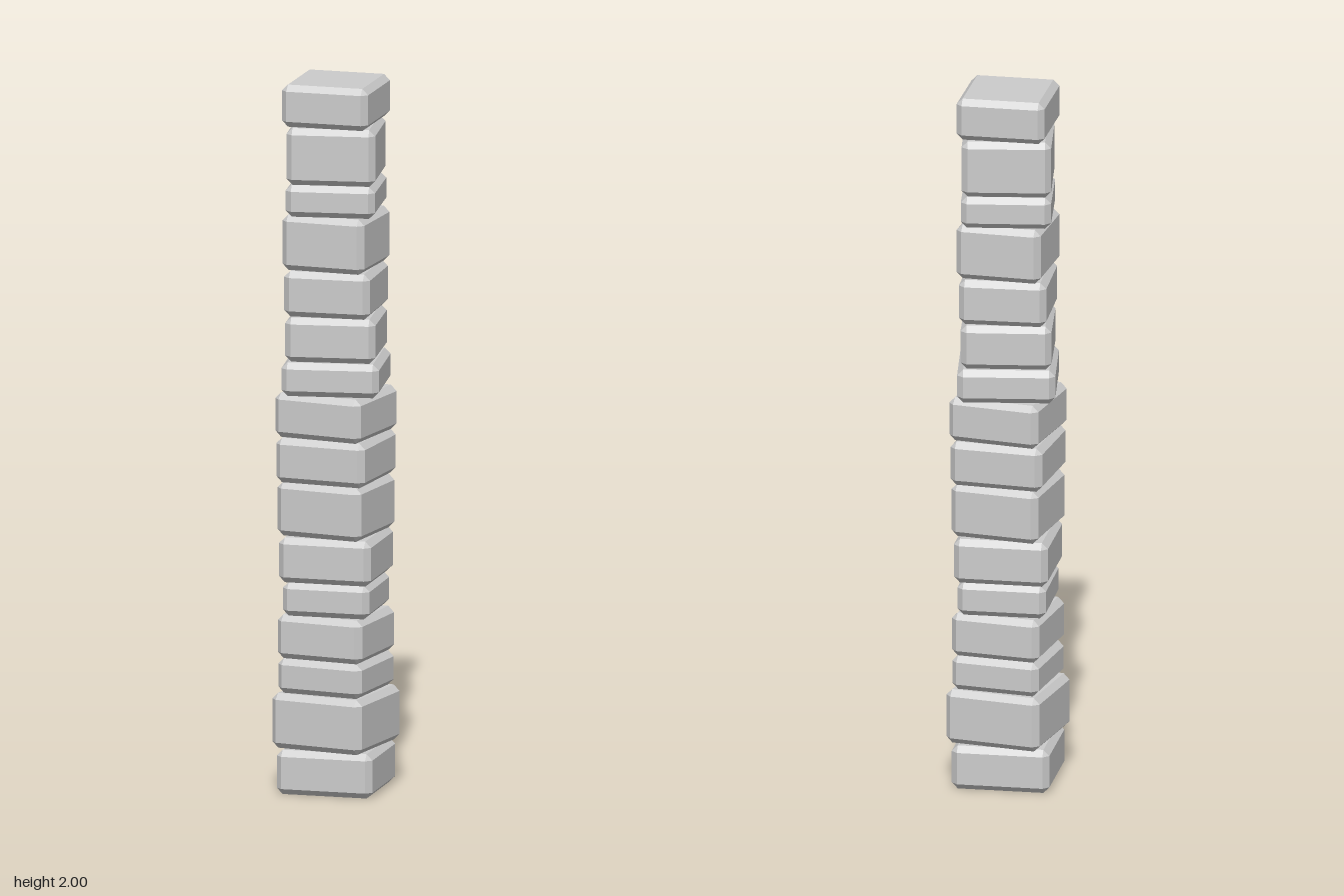
import * as THREE from 'three';
import { ConvexGeometry } from 'three/addons/geometries/ConvexGeometry.js';

// Box with every edge and corner cut by a flat chamfer c
function chamferedBlock(half, height, c) {
  const h = height / 2;
  const points = [];
  for (const x of [-1, 1]) for (const y of [-1, 1]) for (const z of [-1, 1]) {
    points.push(
      new THREE.Vector3(x * half, y * (h - c), z * (half - c)),
      new THREE.Vector3(x * (half - c), y * h, z * (half - c)),
      new THREE.Vector3(x * (half - c), y * (h - c), z * half),
    );
  }
  return new ConvexGeometry(points);
}

export function createModel() {
  const group = new THREE.Group();
  group.name = 'stonePillar';
  const material = new THREE.MeshStandardMaterial({ color: 0xcccccc, flatShading: true });

  // Stones from the ground up: [top height, half width, turn]
  const stones = [
    [0.125, 0.137, 0.02],
    [0.28, 0.137, -0.16],
    [0.378, 0.126, -0.13],
    [0.502, 0.127, -0.125],
    [0.597, 0.124, 0.03],
    [0.724, 0.132, 0.02],
    [0.876, 0.127, -0.14],
    [1.002, 0.132, -0.09],
    [1.127, 0.131, -0.16],
    [1.222, 0.136, 0.15],
    [1.347, 0.126, 0.14],
    [1.475, 0.122, 0.05],
    [1.631, 0.12, -0.06],
    [1.721, 0.125, 0.14],
    [1.881, 0.124, 0.15],
    [2.0, 0.124, 0],
  ];

  let bottom = 0;
  stones.forEach(([top, half, turn], i) => {
    const stone = new THREE.Mesh(chamferedBlock(half, top - bottom, 0.017), material);
    stone.name = `stone${i + 1}`;
    stone.position.y = (top + bottom) / 2;
    stone.rotation.y = turn;
    group.add(stone);
    bottom = top;
  });
  return group;
}
